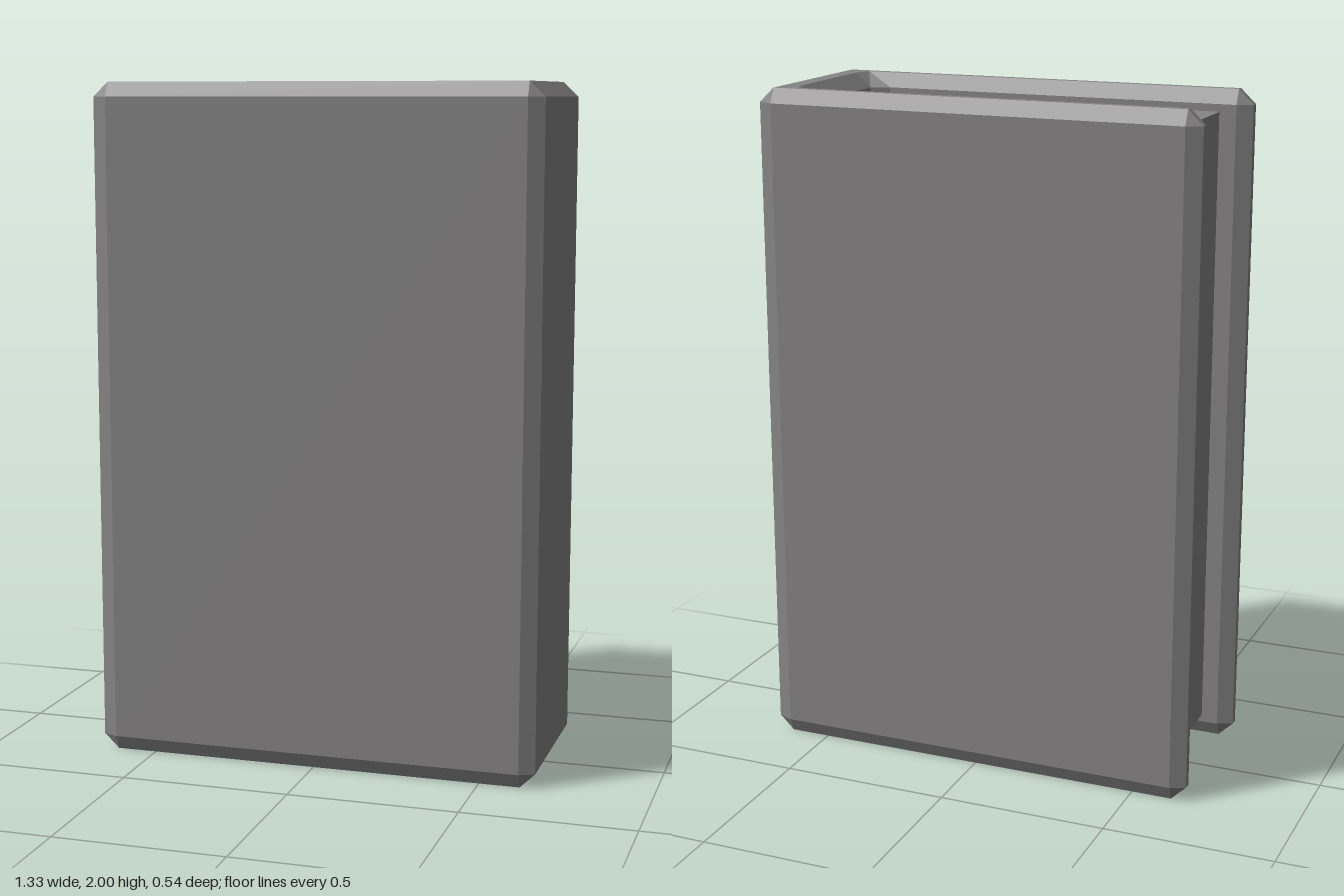
import * as THREE from 'three';

// Cover cross-section [x, z]: front half of the outer and inner outlines, from fore edge to spine
const OUTER = [[-0.665, 0.25], [-0.62, 0.27], [0.62, 0.27], [0.665, 0.25]];
const INNER = [[-0.665, 0.227], [-0.62, 0.207], [0.47, 0.207], [0.525, 0.182]];
// The same outlines drawn in at the bevelled top and bottom rims
const OUTER_RIM = [[-0.62, 0.25], [-0.62, 0.25], [0.62, 0.25], [0.62, 0.25]];
const INNER_RIM = [[-0.62, 0.227], [-0.62, 0.227], [0.55, 0.227], [0.57, 0.182]];

const mirrored = (half) => [...half, ...half.slice().reverse().map(([x, z]) => [x, -z])];

function coverGeometry() {
  const body = [mirrored(OUTER), mirrored(INNER)];
  const rim = [mirrored(OUTER_RIM), mirrored(INNER_RIM)];
  const levels = [[rim, 0], [body, 0.043], [body, 1.957], [rim, 2]];
  const positions = [];

  const point = (level, side, i) => {
    const [x, z] = levels[level][0][side][i];
    return new THREE.Vector3(x, levels[level][1], z);
  };
  // Adds a triangle unless it has collapsed
  const tri = (a, b, c) => {
    const area = b.clone().sub(a).cross(c.clone().sub(a)).length();
    if (area > 1e-7) for (const p of [a, b, c]) positions.push(p.x, p.y, p.z);
  };
  const quad = (a, b, c, d) => { tri(a, b, c); tri(a, c, d); };

  for (let l = 0; l < 3; l++) {
    for (let i = 0; i < 7; i++) {
      // outside and inside walls
      quad(point(l, 0, i), point(l, 0, i + 1), point(l + 1, 0, i + 1), point(l + 1, 0, i));
      quad(point(l, 1, i + 1), point(l, 1, i), point(l + 1, 1, i), point(l + 1, 1, i + 1));
    }
    // fore edges of both boards
    quad(point(l, 1, 0), point(l, 0, 0), point(l + 1, 0, 0), point(l + 1, 1, 0));
    quad(point(l, 0, 7), point(l, 1, 7), point(l + 1, 1, 7), point(l + 1, 0, 7));
  }
  // flat rims at the top and bottom
  for (let i = 0; i < 7; i++) {
    quad(point(3, 0, i), point(3, 0, i + 1), point(3, 1, i + 1), point(3, 1, i));
    quad(point(0, 0, i + 1), point(0, 0, i), point(0, 1, i), point(0, 1, i + 1));
  }

  const geometry = new THREE.BufferGeometry();
  geometry.setAttribute('position', new THREE.Float32BufferAttribute(positions, 3));
  geometry.computeVertexNormals();
  return geometry;
}

export function createModel() {
  const grey = new THREE.MeshStandardMaterial({ color: 0x878585 });
  grey.name = 'grey';
  grey.flatShading = true;

  const book = new THREE.Group();
  book.name = 'book';

  // Bevelled boards and spine in one piece
  const cover = new THREE.Mesh(coverGeometry(), grey);
  cover.name = 'cover';

  // Page block, set back from the fore edge and seated in the cover
  const pages = new THREE.Mesh(new THREE.BoxGeometry(1.11, 1.87, 0.418), grey);
  pages.name = 'pages';
  pages.position.set(-0.015, 1, 0);

  book.add(cover, pages);
  return book;
}
